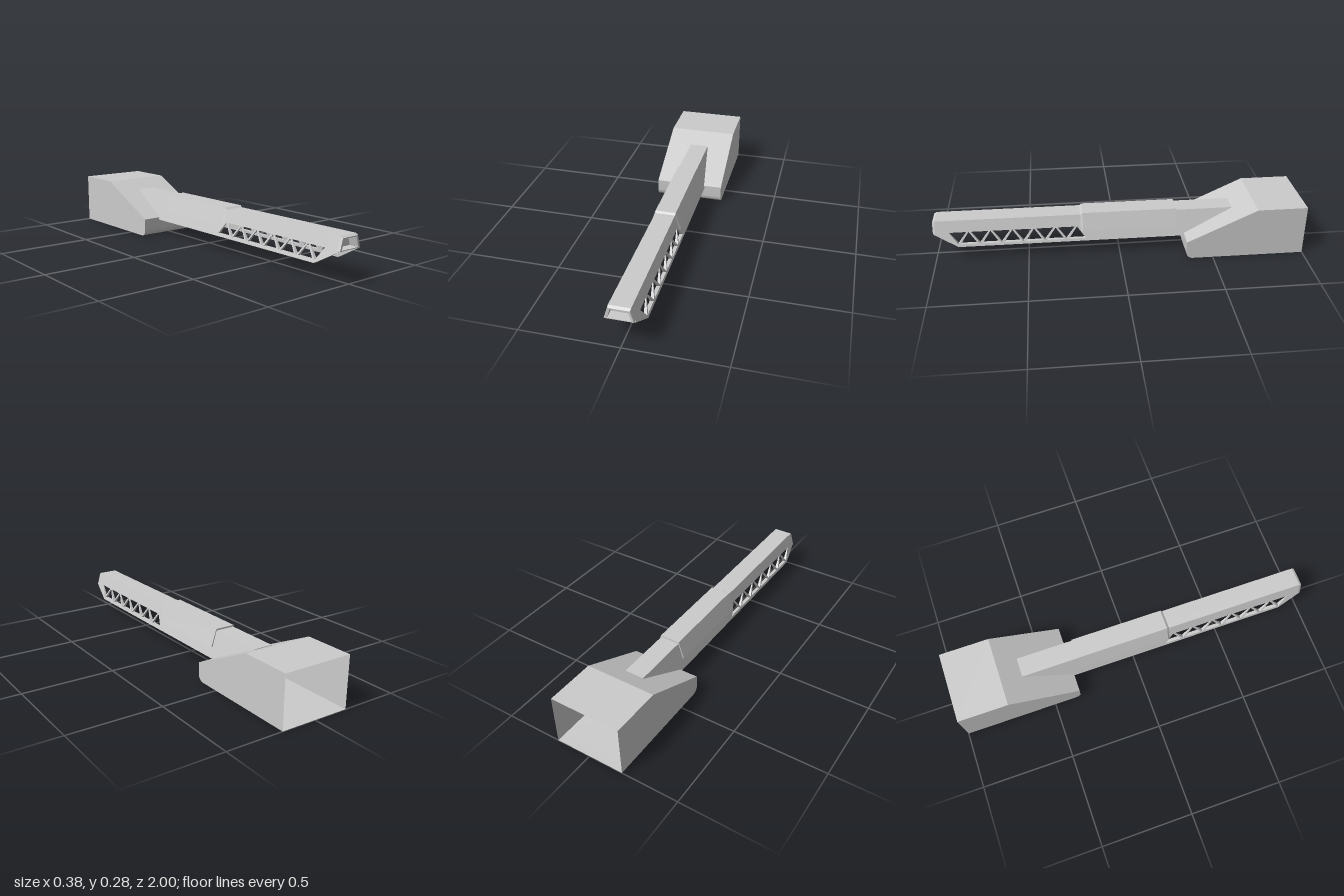
import * as THREE from 'three';
import { toCreasedNormals } from 'three/addons/utils/BufferGeometryUtils.js';

const material = new THREE.MeshStandardMaterial({ color: 0xcccccc, side: THREE.DoubleSide });

function addMesh(group, name, geometry) {
  const mesh = new THREE.Mesh(geometry, material);
  mesh.name = name;
  group.add(mesh);
}

// half width of the boom's sloping flank at height y
const flank = (y) => 0.053 + (0.228 - y) * 0.29;
// inner face of the side webs
const webInside = (y) => 0.072 - (y - 0.087) * 0.045;

// skin through cross-sections [z, points], points counterclockwise from +z
function loft(sections) {
  const pos = [];
  const n = sections[0][1].length;
  const put = (s, i) => pos.push(...sections[s][1][i % n], sections[s][0]);
  for (let s = 0; s < sections.length - 1; s++) {
    for (let i = 0; i < n; i++) {
      put(s, i); put(s, i + 1); put(s + 1, i + 1);
      put(s, i); put(s + 1, i + 1); put(s + 1, i);
    }
  }
  const last = sections.length - 1;
  for (let i = 1; i < n - 1; i++) {
    put(0, 0); put(0, i + 1); put(0, i);
    put(last, 0); put(last, i); put(last, i + 1);
  }
  const geo = new THREE.BufferGeometry();
  geo.setAttribute('position', new THREE.Float32BufferAttribute(pos, 3));
  geo.computeVertexNormals();
  return geo;
}

const trapezoid = (bottom, top, wBottom, wTop) =>
  [[-wBottom, bottom], [wBottom, bottom], [wTop, top], [-wTop, top]];

// upper beam with a chamfered, recessed front end
function beamGeometry() {
  const body = (bottom) => trapezoid(bottom, 0.228, flank(bottom), 0.053);
  const recess = trapezoid(0.164, 0.215, 0.056, 0.041);
  return loft([
    [-0.62, body(0.166)],
    [0.93, body(0.166)],
    [0.93, body(0.158)],
    [0.987, body(0.158)],
    [1, trapezoid(0.16, 0.22, 0.068, 0.051)],
    [1, recess],
    [0.95, recess],
  ]);
}

// side web: profile in (z, y) with a row of triangular openings
function webGeometry(side) {
  const shape = new THREE.Shape([
    [0.99, 0.166], [0.995, 0.158], [0.87, 0.087], [-0.62, 0.087], [-0.62, 0.166],
  ].map(([z, y]) => new THREE.Vector2(z, y)));
  const pitch = 0.116, half = 0.046, low = 0.101, high = 0.165;
  const hole = (z, base, tip) => shape.holes.push(new THREE.Path([
    new THREE.Vector2(z - half, base),
    new THREE.Vector2(z, tip),
    new THREE.Vector2(z + half, base),
  ]));
  for (let k = 0; k < 6; k++) {
    hole(0.87 - k * pitch, high, low);
    hole(0.812 - k * pitch, low, high);
  }
  const geo = new THREE.ExtrudeGeometry(shape, { depth: 1, bevelEnabled: false });
  // turn the plate sideways and lean its outer face along the flank
  const p = geo.attributes.position;
  for (let i = 0; i < p.count; i++) {
    const z = p.getX(i), y = p.getY(i), w = p.getZ(i);
    const t = side > 0 ? 1 - w : w;
    p.setXYZ(i, side * THREE.MathUtils.lerp(webInside(y), flank(y), t), y, z);
  }
  geo.computeVertexNormals();
  return geo;
}

// sleeve wrapped over the beam, front edge chamfered
function sleeveGeometry() {
  const inner = flank(0.143);
  const shape = new THREE.Shape([
    [-0.085, 0.143], [-inner, 0.143], [-0.053, 0.228], [0.053, 0.228],
    [inner, 0.143], [0.085, 0.143], [0.055, 0.237], [-0.055, 0.237],
  ].map(([x, y]) => new THREE.Vector2(x, y)));
  const geo = new THREE.ExtrudeGeometry(shape, { depth: 0.51, bevelEnabled: false });
  geo.translate(0, 0, -0.31);
  const p = geo.attributes.position;
  for (let i = 0; i < p.count; i++) {
    const onInside = Math.abs(p.getX(i)) < flank(p.getY(i)) + 0.001 && p.getY(i) < 0.23;
    if (p.getZ(i) > 0 && onInside) p.setZ(i, 0.212);
  }
  geo.computeVertexNormals();
  return geo;
}

// housing outline in (z, y), from the rear top edge round to the rear bottom edge
function housingProfile() {
  const pts = [[-1, 0.277], [-0.73, 0.277], [-0.353, 0.1]];
  const r = 0.035;
  for (let i = 0; i <= 8; i++) {
    const a = (i / 8) * Math.PI / 2;
    pts.push([-0.353 - r + r * Math.cos(a), r - r * Math.sin(a)]);
  }
  pts.push([-1, 0]);
  return pts;
}

export function createModel() {
  const model = new THREE.Group();
  model.name = 'boomAndHousing';

  const boom = new THREE.Group();
  boom.name = 'boom';
  model.add(boom);
  addMesh(boom, 'beam', beamGeometry());
  addMesh(boom, 'leftTrussWeb', webGeometry(1));
  addMesh(boom, 'rightTrussWeb', webGeometry(-1));
  addMesh(boom, 'sleeve', sleeveGeometry());

  // thin-walled housing, open at the rear
  const housing = new THREE.Group();
  housing.name = 'housing';
  model.add(housing);
  const profile = housingProfile();
  const w = 0.192;
  const pos = [];
  for (let i = 0; i < profile.length - 1; i++) {
    const [z0, y0] = profile[i], [z1, y1] = profile[i + 1];
    pos.push(-w, y0, z0, -w, y1, z1, w, y1, z1);
    pos.push(-w, y0, z0, w, y1, z1, w, y0, z0);
  }
  const shell = new THREE.BufferGeometry();
  shell.setAttribute('position', new THREE.Float32BufferAttribute(pos, 3));
  addMesh(housing, 'housingShell', toCreasedNormals(shell, 0.4));

  // side walls, outward normals on both sides
  for (const side of [1, -1]) {
    const outline = new THREE.Shape(profile.map(([z, y]) => new THREE.Vector2(-side * z, y)));
    const wall = new THREE.ShapeGeometry(outline);
    wall.rotateY(side * Math.PI / 2);
    wall.translate(side * w, 0, 0);
    addMesh(housing, side > 0 ? 'leftHousingWall' : 'rightHousingWall', wall);
  }
  return model;
}
